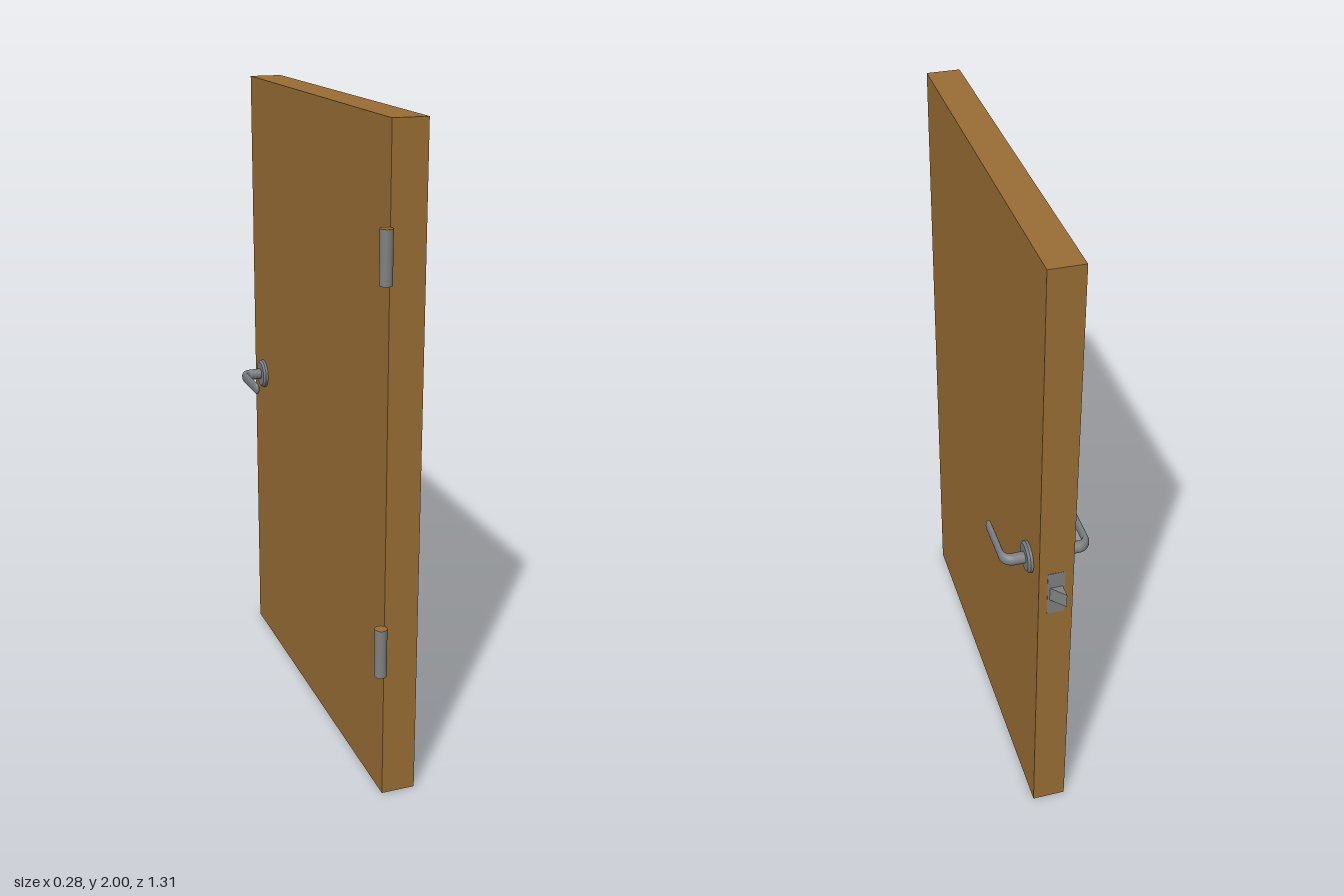
import * as THREE from 'three';

const wood = new THREE.MeshStandardMaterial({ color: 0x9a6e35 });
wood.name = 'wood';
const steel = new THREE.MeshStandardMaterial({ color: 0x7b7e82 });
steel.name = 'handle steel';
const iron = new THREE.MeshStandardMaterial({ color: 0x808080 });
iron.name = 'hinge iron';

function part(name, geometry, material, x = 0, y = 0, z = 0) {
  const mesh = new THREE.Mesh(geometry, material);
  mesh.name = name;
  mesh.position.set(x, y, z);
  return mesh;
}

// Sweep of ellipses along a path in the xz plane.
// Each ring: [x, z, heading in radians, half width, half height]
function leverGeometry(rings, sides = 24) {
  const pos = [], idx = [];
  for (const [x, z, a, w, h] of rings) {
    for (let j = 0; j < sides; j++) {
      const t = (j / sides) * Math.PI * 2;
      const n = Math.cos(t) * w;
      pos.push(x - Math.sin(a) * n, Math.sin(t) * h, z + Math.cos(a) * n);
    }
  }
  for (let i = 0; i < rings.length - 1; i++) {
    for (let j = 0; j < sides; j++) {
      const k = (j + 1) % sides;
      const a = i * sides + j, b = i * sides + k;
      const c = a + sides, d = b + sides;
      idx.push(a, c, b, b, c, d);
    }
  }
  const g = new THREE.BufferGeometry();
  g.setAttribute('position', new THREE.Float32BufferAttribute(pos, 3));
  g.setIndex(idx);
  g.computeVertexNormals();
  return g;
}

// Door handle pointing outwards along +x, lever running towards +z
function createHandle(name) {
  const handle = new THREE.Group();
  handle.name = name;

  // Round plate with a chamfered rim
  const profile = [[0.048, 0.045], [0.048, 0.06], [0.041, 0.067], [0.0001, 0.067]]
    .map(([r, y]) => new THREE.Vector2(r, y));
  const plate = new THREE.LatheGeometry(profile, 32).toNonIndexed();
  plate.computeVertexNormals();
  plate.rotateZ(-Math.PI / 2);
  handle.add(part('rosette', plate, steel));

  // Neck, bend that flattens, straight grip and rounded tip
  const rings = [[0.05, 0, 0, 0.018, 0.018]];
  const bend = 10;
  for (let i = 0; i <= bend; i++) {
    const f = i / bend, a = f * Math.PI / 2;
    rings.push([0.1 + 0.0285 * Math.sin(a), 0.0285 * (1 - Math.cos(a)), a,
      0.018 - 0.009 * f, 0.018 + 0.001 * f]);
  }
  for (let i = 0; i <= 6; i++) {
    const a = (i / 6) * Math.PI / 2, c = Math.max(Math.cos(a), 0.001);
    rings.push([0.1285, 0.16 + 0.012 * Math.sin(a), Math.PI / 2, 0.009 * c, 0.019 * c]);
  }
  handle.add(part('lever', leverGeometry(rings), steel));
  handle.position.set(0, 0.99, -0.513);
  return handle;
}

export function createModel() {
  const door = new THREE.Group();
  door.name = 'door';

  // Door leaf
  door.add(part('leaf', new THREE.BoxGeometry(0.104, 2, 1.235), wood, 0, 1, 0.005));

  // Hinge barrels with wood-coloured ends
  const barrel = new THREE.CylinderGeometry(0.0185, 0.0185, 0.152, 24);
  for (const [name, y] of [['lowerHinge', 0.487], ['upperHinge', 1.645]]) {
    door.add(part(name, barrel, [iron, wood, wood], -0.068, y, 0.636));
  }

  // Handles on both faces
  const left = createHandle('leftHandle');
  const right = createHandle('rightHandle');
  right.rotation.z = Math.PI;
  door.add(left, right);

  // Lock plate on the closing edge
  door.add(part('lockPlate', new THREE.BoxGeometry(0.052, 0.155, 0.004), iron, 0, 0.922, -0.6115));

  // Wedge-shaped latch bolt
  const wedge = new THREE.Shape([
    new THREE.Vector2(-0.02, 0.61),
    new THREE.Vector2(0.022, 0.61),
    new THREE.Vector2(-0.02, 0.655),
  ]);
  const bolt = new THREE.ExtrudeGeometry(wedge, { depth: 0.046, bevelEnabled: false });
  bolt.rotateX(-Math.PI / 2);
  door.add(part('latchBolt', bolt, iron, 0, 0.899, 0));

  return door;
}
